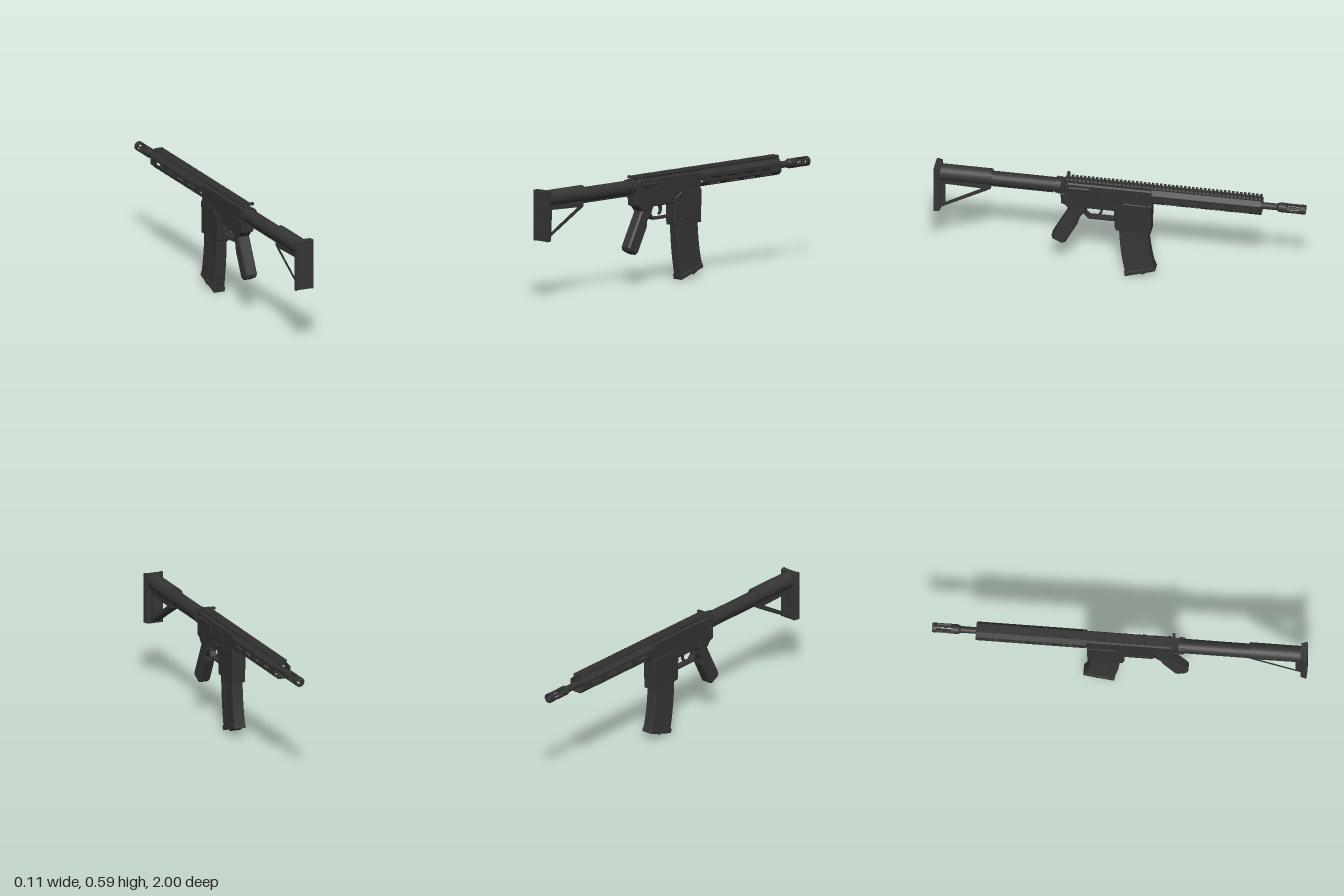
import * as THREE from 'three';

const steel = new THREE.MeshStandardMaterial({ color: 0x333333 });
steel.name = 'dark steel';
const polymer = new THREE.MeshStandardMaterial({ color: 0x363636 });
polymer.name = 'dark polymer';

export function createModel() {
  const model = new THREE.Group();
  const BORE = 0.533;

  const add = (name, geometry, material = steel) => {
    const mesh = new THREE.Mesh(geometry, material);
    mesh.name = name;
    model.add(mesh);
    return mesh;
  };
  // Box from its limits on each axis
  const box = (name, x0, x1, y0, y1, z0, z1, mat) =>
    add(name, new THREE.BoxGeometry(x1 - x0, y1 - y0, z1 - z0)
      .translate((x0 + x1) / 2, (y0 + y1) / 2, (z0 + z1) / 2), mat);
  // Side profile given as [z, y], extruded across x from x0 to x1
  const toPoints = (list) => list.map(([z, y]) => new THREE.Vector2(-z, y));
  const side = (name, pts, x0, x1, { bevel = 0, holes = [], mat = steel } = {}) => {
    const shape = new THREE.Shape(toPoints(pts));
    holes.forEach((h) => shape.holes.push(new THREE.Path(toPoints(h))));
    const geo = new THREE.ExtrudeGeometry(shape, {
      depth: x1 - x0 - 2 * bevel, bevelEnabled: bevel > 0, bevelSize: bevel,
      bevelThickness: bevel, bevelOffset: -bevel, bevelSegments: 1,
    });
    return add(name, geo.translate(0, 0, x0 + bevel).rotateY(Math.PI / 2), mat);
  };
  // Turned part along z, profile given as [radius, z] with z rising
  const turned = (name, pts, { x = 0, y = BORE, mat = steel } = {}) => {
    const flat = [];
    // doubled points keep the steps sharp
    pts.forEach(([r, z], i) => {
      flat.push(new THREE.Vector2(r, z));
      if (i > 0 && i < pts.length - 1) flat.push(new THREE.Vector2(r, z));
    });
    return add(name, new THREE.LatheGeometry(flat, 28).rotateX(Math.PI / 2).translate(x, y, 0), mat);
  };
  const rod = (name, r, z0, z1, options) =>
    turned(name, [[0, z0], [r, z0], [r, z1], [0, z1]], options);
  // Round pin or button across x
  const pin = (name, r, x0, x1, y, z) =>
    add(name, new THREE.CylinderGeometry(r, r, x1 - x0, 16).rotateZ(Math.PI / 2)
      .translate((x0 + x1) / 2, y, z));

  // Butt pad with horizontal ridges
  const pad = new THREE.Shape([[-0.053, 0.985], [-0.045, 0.965], [0.045, 0.965], [0.053, 0.985],
    [0.053, 0.993], [-0.053, 0.993]].map(([x, z]) => new THREE.Vector2(x, -z)));
  add('buttPad', new THREE.ExtrudeGeometry(pad, { depth: 0.272, bevelEnabled: false })
    .rotateX(-Math.PI / 2).translate(0, 0.315, 0), polymer);
  for (let i = 0; i < 10; i++) {
    const y = 0.318 + i * 0.0267;
    box('buttPadRidge', -0.04, 0.04, y, y + 0.0235, 0.99, 1, polymer);
  }
  for (const s of [-1, 1]) {
    box('buttPadEdge', s * 0.0475 - 0.0055, s * 0.0475 + 0.0055, 0.315, 0.587, 0.99, 0.998, polymer);
  }

  // Stock body and triangular brace
  rod('stockBody', 0.044, 0.69, 0.97, { y: 0.54, mat: polymer });
  box('stockSpine', -0.022, 0.022, 0.485, 0.53, 0.7, 0.97, polymer);
  side('stockBrace', [[0.97, 0.51], [0.695, 0.51], [0.695, 0.475], [0.715, 0.462], [0.97, 0.32]],
    -0.024, 0.024, { holes: [[[0.94, 0.482], [0.74, 0.474], [0.94, 0.358]]], bevel: 0.003, mat: polymer });

  // Stock tube, lock ring and end plate
  rod('stockTube', 0.039, 0.33, 0.7, { y: 0.532 });
  box('stockTubeRib', -0.014, 0.014, 0.488, 0.51, 0.36, 0.69);
  rod('lockRing', 0.044, 0.315, 0.345);
  for (let i = 0; i < 8; i++) {
    const a = (i * Math.PI) / 4;
    const lug = box('lockRingLug', -0.007, 0.007, -0.003, 0.003, 0.318, 0.342);
    lug.position.set(Math.cos(a) * 0.043, BORE + Math.sin(a) * 0.043, 0);
    lug.rotation.z = a + Math.PI / 2;
  }
  box('endPlate', -0.03, 0.03, 0.47, 0.565, 0.295, 0.318);

  // Upper receiver
  side('upperReceiver', [[0.3, 0.49], [0.3, 0.56], [0.28, 0.57], [-0.178, 0.57], [-0.178, 0.485], [0.2, 0.485]],
    -0.034, 0.034, { bevel: 0.007 });
  box('ejectionCover', 0.03, 0.039, 0.503, 0.548, -0.035, 0.11);
  box('ejectionCoverHinge', 0.034, 0.041, 0.498, 0.506, -0.045, 0.115);
  side('caseDeflector', [[0.12, 0.51], [0.12, 0.55], [0.15, 0.535], [0.15, 0.515]], 0.03, 0.044);
  turned('forwardAssist', [[0, 0.16], [0.011, 0.16], [0.011, 0.255], [0.014, 0.255], [0.014, 0.27], [0, 0.27]],
    { x: 0.032, y: 0.54 });

  // Charging handle
  box('chargingHandle', -0.012, 0.012, 0.565, 0.582, 0.2, 0.3);
  box('chargingHandleGrip', -0.055, 0.048, 0.574, 0.587, 0.277, 0.293);

  // Lower receiver with magazine well
  side('lowerReceiver', [[0.315, 0.5], [0.315, 0.435], [0.29, 0.425], [0.27, 0.4], [0.19, 0.4], [0.18, 0.418],
    [0.026, 0.418], [0.026, 0.31], [0.015, 0.3], [-0.168, 0.3], [-0.172, 0.49], [-0.16, 0.5]],
    -0.034, 0.034, { bevel: 0.005 });
  side('magazineWell', [[0.026, 0.44], [0.02, 0.298], [-0.17, 0.298], [-0.174, 0.475], [-0.02, 0.475]],
    -0.038, 0.038, { bevel: 0.003 });
  for (const [z, y] of [[0.25, 0.475], [0.13, 0.445], [0.06, 0.45], [-0.15, 0.478]]) {
    pin('receiverPin', 0.009, -0.037, 0.037, y, z);
  }
  pin('magazineRelease', 0.012, 0.03, 0.042, 0.45, 0.035);
  box('boltCatch', -0.041, -0.03, 0.435, 0.485, 0.03, 0.05);
  for (const s of [-1, 1]) {
    const lever = box('selectorLever', -0.003, 0.003, -0.006, 0.006, -0.03, 0.012);
    lever.position.set(s * 0.037, 0.455, 0.215);
    lever.rotation.x = -0.3;
  }

  // Trigger and guard
  side('triggerGuard', [[0.2, 0.41], [0.195, 0.37], [0.17, 0.343], [0.02, 0.343], [0.02, 0.42], [0.03, 0.42],
    [0.03, 0.354], [0.165, 0.354], [0.183, 0.375], [0.185, 0.41]], -0.018, 0.018);
  side('trigger', [[0.118, 0.425], [0.106, 0.395], [0.106, 0.382], [0.117, 0.369], [0.11, 0.363], [0.097, 0.377],
    [0.094, 0.4], [0.097, 0.425]], -0.007, 0.007);

  // Pistol grip
  side('pistolGrip', [[0.275, 0.43], [0.18, 0.425], [0.188, 0.385], [0.222, 0.34], [0.225, 0.31], [0.238, 0.285],
    [0.292, 0.18], [0.312, 0.17], [0.362, 0.195], [0.367, 0.215], [0.268, 0.405]],
    -0.032, 0.032, { bevel: 0.009, mat: polymer });

  // Curved magazine: front and rear edges follow the same kind of curve
  const edge = (...pts) => new THREE.QuadraticBezierCurve(...pts.map((p) => new THREE.Vector2(...p)))
    .getPoints(8).map((p) => [p.x, p.y]);
  const strip = (z0, z1) => [
    ...edge([z0, 0.33], [z0 - 0.003, 0.16], [z0 - 0.034, 0.02]),
    ...edge([z1, 0.33], [z1 - 0.001, 0.19], [z1 - 0.036, 0.06]).reverse(),
  ];
  side('magazine', strip(0.003, -0.153), -0.028, 0.028, { bevel: 0.004, mat: polymer });
  side('magazineRearRib', strip(-0.002, -0.035), -0.031, 0.031, { mat: polymer });
  side('magazineFrontRib', strip(-0.085, -0.148), -0.031, 0.031, { mat: polymer });
  side('magazineBase', [[-0.025, 0.026], [-0.03, 0], [-0.193, 0.052], [-0.185, 0.075]],
    -0.033, 0.033, { bevel: 0.003, mat: polymer });

  // Top rail
  box('railBase', -0.018, 0.018, 0.56, 0.581, -0.763, 0.285);
  const railSection = new THREE.Shape([[-0.02, 0.574], [0.02, 0.574], [0.027, 0.583], [0.0216, 0.592],
    [-0.0216, 0.592], [-0.027, 0.583]].map(([x, y]) => new THREE.Vector2(x, y)));
  const tooth = new THREE.ExtrudeGeometry(railSection, { depth: 0.0125, bevelEnabled: false });
  for (let i = 0; i < 49; i++) add('railTooth', tooth).position.z = -0.764 + i * 0.0216;

  // Octagonal hollow handguard made of slotted plates
  const LENGTH = 0.59;
  const ring = [[0.024, 0.487], [0.045, 0.508], [0.045, 0.552], [0.024, 0.575],
    [-0.024, 0.575], [-0.045, 0.552], [-0.045, 0.508], [-0.024, 0.487]];
  const slotted = [true, true, false, false, false, true, true, true];
  ring.forEach((p, i) => {
    const q = ring[(i + 1) % ring.length];
    const w = Math.hypot(q[0] - p[0], q[1] - p[1]);
    const ex = (q[0] - p[0]) / w, ey = (q[1] - p[1]) / w;
    const plate = new THREE.Shape([[0, 0], [LENGTH, 0], [LENGTH, w], [0, w]]
      .map(([a, b]) => new THREE.Vector2(a, b)));
    for (let k = 0; slotted[i] && k < 4; k++) {
      const c = 0.103 + k * 0.127, h = 0.008, l = 0.033;
      const slot = new THREE.Path();
      slot.absarc(c - l, w / 2, h, Math.PI / 2, Math.PI * 1.5, false);
      slot.absarc(c + l, w / 2, h, -Math.PI / 2, Math.PI / 2, false);
      plate.holes.push(slot);
    }
    const geo = new THREE.ExtrudeGeometry(plate, { depth: 0.005, bevelEnabled: false, curveSegments: 5 });
    geo.translate(0, 0, -0.005).applyMatrix4(new THREE.Matrix4().makeBasis(
      new THREE.Vector3(0, 0, -1), new THREE.Vector3(ex, ey, 0), new THREE.Vector3(ey, -ex, 0))
      .setPosition(p[0], p[1], -0.175));
    add('handguardPlate', geo);
  });

  // Barrel with a shoulder at the muzzle
  turned('barrel', [[0, -0.868], [0.024, -0.868], [0.025, -0.86], [0.018, -0.845], [0.018, -0.17], [0, -0.17]]);

  // Flash hider: two rings joined by six bars
  const sector = (name, a0, a1, z0, z1) => {
    const s = new THREE.Shape();
    s.absarc(0, 0, 0.026, a0, a1, false);
    s.absarc(0, 0, 0.016, a1, a0, true);
    add(name, new THREE.ExtrudeGeometry(s, { depth: z1 - z0, bevelEnabled: false, curveSegments: 8 })
      .translate(0, BORE, z0));
  };
  for (let i = 0; i < 6; i++) {
    const a = (i * Math.PI) / 3;
    sector('flashHiderBar', a + 0.3, a + Math.PI / 3 - 0.3, -0.975, -0.9);
    sector('flashHiderFrontRing', a, a + Math.PI / 3, -1, -0.975);
    sector('flashHiderRearRing', a, a + Math.PI / 3, -0.9, -0.862);
  }
  return model;
}
